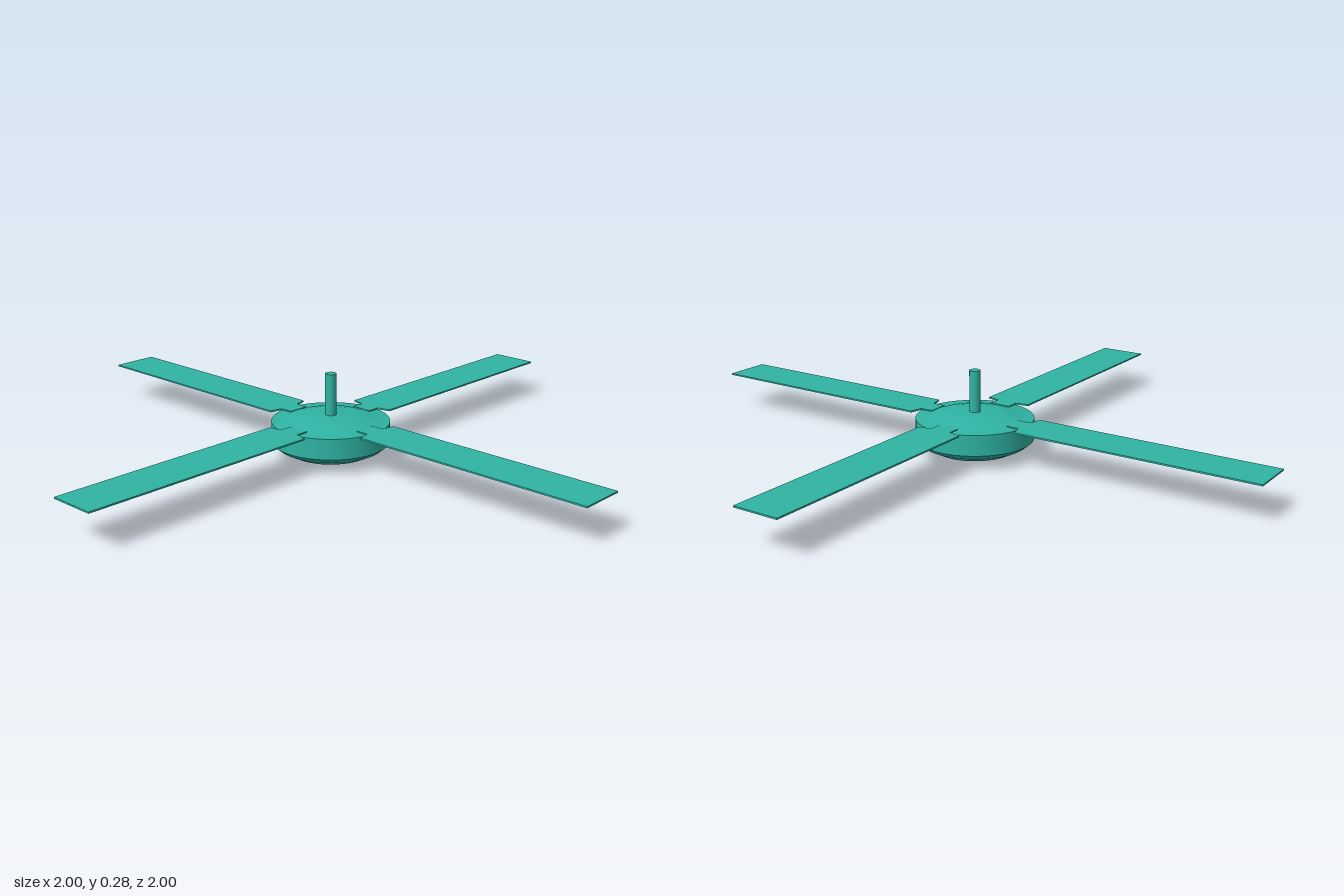
import * as THREE from 'three';
import { toCreasedNormals } from 'three/addons/utils/BufferGeometryUtils.js';

export function createModel() {
  const fan = new THREE.Group();
  fan.name = 'ceilingFan';
  const material = new THREE.MeshStandardMaterial({ color: 0x2fb3a3, side: THREE.DoubleSide });

  const add = (geometry, name) => {
    const mesh = new THREE.Mesh(geometry, material);
    mesh.name = name;
    fan.add(mesh);
    return mesh;
  };

  // Motor housing: shallow bowl below, straight wall, raised crown on top
  const profile = [
    [0, 0], [0.07, 0.004], [0.13, 0.016], [0.17, 0.036], [0.19, 0.053],
    [0.19, 0.12], [0.15, 0.122], [0.12, 0.132], [0.09, 0.138], [0, 0.14],
  ].map(([r, y]) => new THREE.Vector2(r, y));
  add(toCreasedNormals(new THREE.LatheGeometry(profile, 48), 0.45), 'motorHousing');

  // Down rod
  const rod = add(new THREE.CylinderGeometry(0.018, 0.018, 0.145, 24), 'downRod');
  rod.position.y = 0.2025;

  // Flat blade with a narrow mounting tab at the hub end
  const outline = [
    [0.145, -0.035], [0.187, -0.035], [0.197, -0.077], [1, -0.077],
    [1, 0.077], [0.197, 0.077], [0.187, 0.035], [0.145, 0.035],
  ].map(([x, y]) => new THREE.Vector2(x, y));
  const bladeGeometry = new THREE.ExtrudeGeometry(new THREE.Shape(outline), {
    depth: 0.005, bevelEnabled: false,
  });
  bladeGeometry.rotateX(-Math.PI / 2);

  for (let i = 0; i < 4; i++) {
    const blade = add(bladeGeometry, `blade${i + 1}`);
    blade.position.y = 0.12;
    blade.rotation.y = (i * Math.PI) / 2;
  }
  return fan;
}
